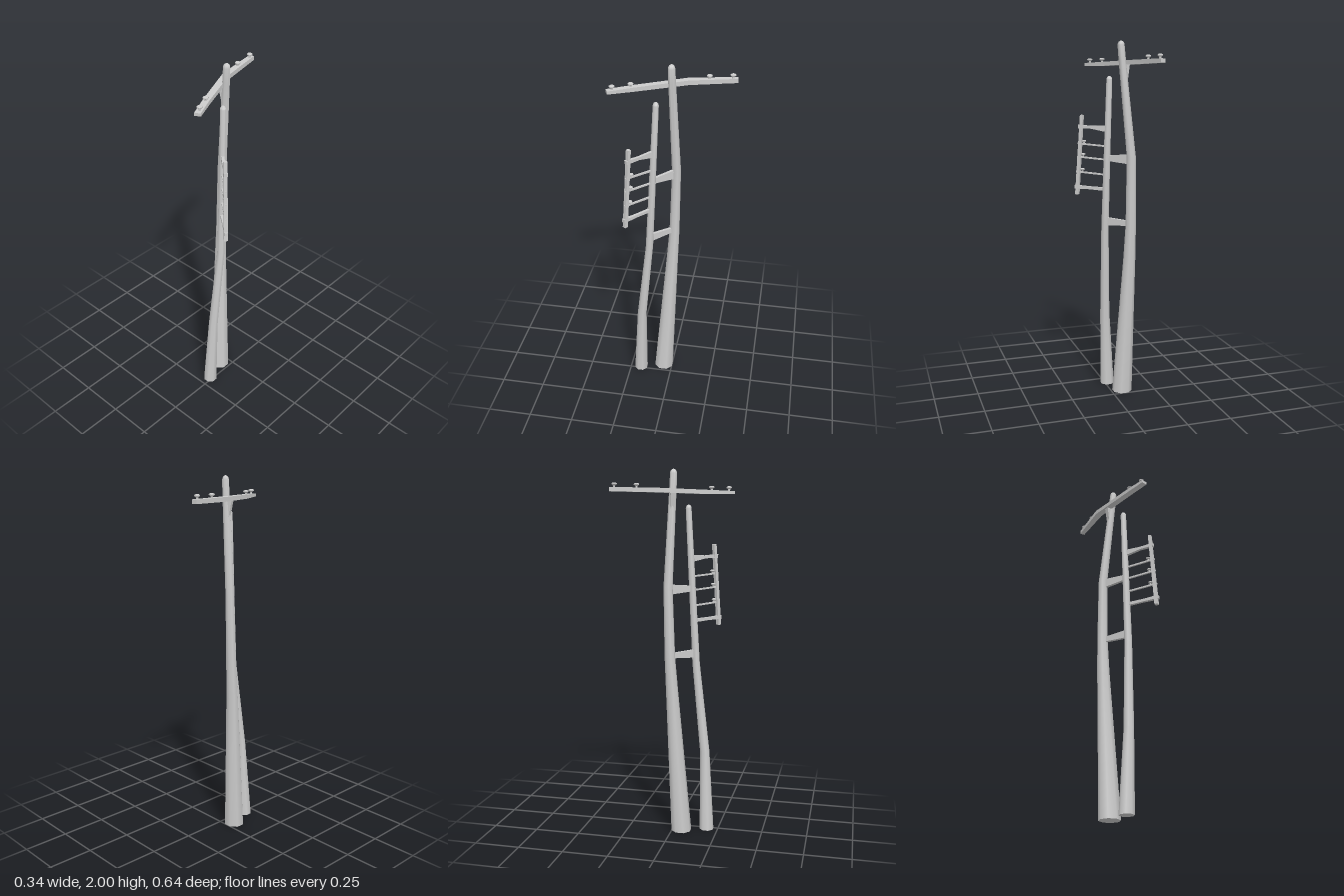
import * as THREE from 'three';
import { toCreasedNormals } from 'three/addons/utils/BufferGeometryUtils.js';

const V = (x, y, z) => new THREE.Vector3(x, y, z);
const material = new THREE.MeshStandardMaterial({ color: 0xcccccc });

// Skin a closed, capped surface over rings that turn right-handed about the path
function loft(rings) {
  const n = rings[0].length, pos = [], index = [];
  rings.forEach(r => r.forEach(p => pos.push(p.x, p.y, p.z)));
  for (let i = 0; i < rings.length - 1; i++) {
    for (let j = 0; j < n; j++) {
      const a = i * n + j, b = i * n + (j + 1) % n;
      index.push(a, b, b + n, a, b + n, a + n);
    }
  }
  const last = (rings.length - 1) * n;
  for (let j = 1; j < n - 1; j++) {
    index.push(0, j + 1, j, last, last + j, last + j + 1);
  }
  const g = new THREE.BufferGeometry();
  g.setAttribute('position', new THREE.Float32BufferAttribute(pos, 3));
  g.setIndex(index);
  return toCreasedNormals(g, 1.0);
}

function add(parent, name, geometry) {
  const m = new THREE.Mesh(geometry, material);
  m.name = name;
  parent.add(m);
  return m;
}

// Round leaning pole from [x, y, z, radius] stations, with a domed tip
function poleGeometry(stations) {
  const [x, y, z, r] = stations.at(-1);
  const dome = [0.4, 0.8, 1.15, 1.45].map(t => [x, y + r * 1.2 * Math.sin(t), z, r * Math.cos(t)]);
  return loft([...stations, ...dome].map(([cx, cy, cz, cr]) =>
    Array.from({ length: 8 }, (_, i) => {
      const t = (i + 0.5) * Math.PI / 4;
      return V(cx + cr * Math.sin(t), cy, cz + cr * Math.cos(t));
    })));
}

// Rectangular bar through [point, width, height] stations
function barGeometry(stations, up = V(0, 1, 0)) {
  return loft(stations.map(([p, w, h], i) => {
    const a = stations[Math.max(i - 1, 0)][0];
    const b = stations[Math.min(i + 1, stations.length - 1)][0];
    const side = b.clone().sub(a).cross(up).normalize();
    return [[1, 1], [-1, 1], [-1, -1], [1, -1]].map(([u, v]) =>
      p.clone().addScaledVector(up, u * h / 2).addScaledVector(side, v * w / 2));
  }));
}

// Point on a pole's axis at height y
function axisAt(stations, y) {
  let i = 0;
  while (i < stations.length - 2 && stations[i + 1][1] < y) i++;
  const a = V(...stations[i]), b = V(...stations[i + 1]);
  return a.lerp(b, (y - a.y) / (b.y - a.y));
}

// Mushroom-shaped insulator standing on its origin
const insulatorGeometry = toCreasedNormals(new THREE.LatheGeometry([
  [0, 0], [0.006, 0], [0.006, 0.012], [0.015, 0.018], [0.015, 0.023], [0.008, 0.027], [0, 0.027],
].map(p => new THREE.Vector2(...p)), 8), 0.8);

function addInsulator(parent, p, scale = 1) {
  const m = add(parent, 'insulator', insulatorGeometry);
  m.position.copy(p);
  m.scale.setScalar(scale);
}

export function createModel() {
  const model = new THREE.Group();
  model.name = 'utilityPoles';

  // Two leaning poles
  const tall = [
    [-0.064, 0, 0.051, 0.057], [-0.091, 0.8, 0.004, 0.034], [-0.095, 1.0, -0.008, 0.029],
    [-0.093, 1.38, -0.018, 0.025], [-0.045, 1.9, -0.002, 0.02], [-0.039, 1.977, 0, 0.019],
  ];
  const short = [
    [-0.015, 0, 0.187, 0.04], [0.003, 0.45, 0.17, 0.027], [0.018, 0.95, 0.115, 0.021],
    [0.013, 1.3, 0.097, 0.019], [0.004, 1.795, 0.073, 0.016],
  ];
  add(model, 'tallPole', poleGeometry(tall));
  add(model, 'shortPole', poleGeometry(short));

  // Tapered braces between the poles: [height, size at tall pole, size at short pole]
  for (const [y, h0, h1] of [[1.365, 0.055, 0.03], [1.005, 0.026, 0.046]]) {
    add(model, 'poleBrace', barGeometry([
      [axisAt(tall, y), 0.016, h0], [axisAt(short, y), 0.016, h1],
    ]));
  }

  // Bent crossarm with its insulators
  const crossarm = new THREE.Group();
  crossarm.name = 'crossarm';
  model.add(crossarm);
  add(crossarm, 'crossarmBeam', barGeometry([
    [V(-0.156, 1.893, -0.32), 0.026, 0.022], [V(-0.109, 1.888, -0.076), 0.038, 0.024],
    [V(0.003, 1.879, 0.185), 0.034, 0.022], [V(0.063, 1.877, 0.309), 0.033, 0.016],
  ]));
  for (const [x, y, z] of [[-0.149, 1.9, -0.295], [-0.128, 1.897, -0.179],
    [0.008, 1.884, 0.197], [0.053, 1.883, 0.283]]) {
    addInsulator(crossarm, V(x, y, z));
  }
  // Wedge under the crossarm, against the tall pole
  add(crossarm, 'crossarmBracket', barGeometry([
    [V(-0.06, 1.76, -0.005), 0.022, 0.012], [V(-0.068, 1.885, 0.003), 0.026, 0.036],
  ], V(0.93, 0, -0.37)));

  // Side rack carried by the short pole
  const rack = new THREE.Group();
  rack.name = 'sideRack';
  model.add(rack);
  const top = V(0.127, 1.6, 0.192), bottom = V(0.151, 1.15, 0.217);
  const out = V(0.78, 0, 0.62).normalize();
  const postAt = y => bottom.clone().lerp(top, (y - bottom.y) / (top.y - bottom.y));
  add(rack, 'rackPost', barGeometry([[bottom, 0.02, 0.02], [top, 0.02, 0.017]], out));

  // Heavier brackets at both ends of the rack
  for (const [y, root, drop] of [[1.535, 0.038, -0.008], [1.193, 0.018, -0.005]]) {
    const start = axisAt(short, y), end = postAt(y).addScaledVector(out, 0.016);
    start.y += drop;
    const mid = start.clone().lerp(end, 0.55).setY(y - 0.002);
    add(rack, 'rackBracket', barGeometry([
      [start, 0.016, root], [mid, 0.015, 0.016], [end, 0.02, 0.02],
    ]));
  }

  // Thin rungs, each with a small insulator
  for (const y of [1.435, 1.36, 1.275]) {
    const start = axisAt(short, y - 0.005), end = postAt(y + 0.005).addScaledVector(out, 0.014);
    add(rack, 'rackRung', barGeometry([[start, 0.009, 0.009], [end, 0.009, 0.009]]));
    addInsulator(rack, start.clone().lerp(end, 0.79), 0.85);
  }
  return model;
}
